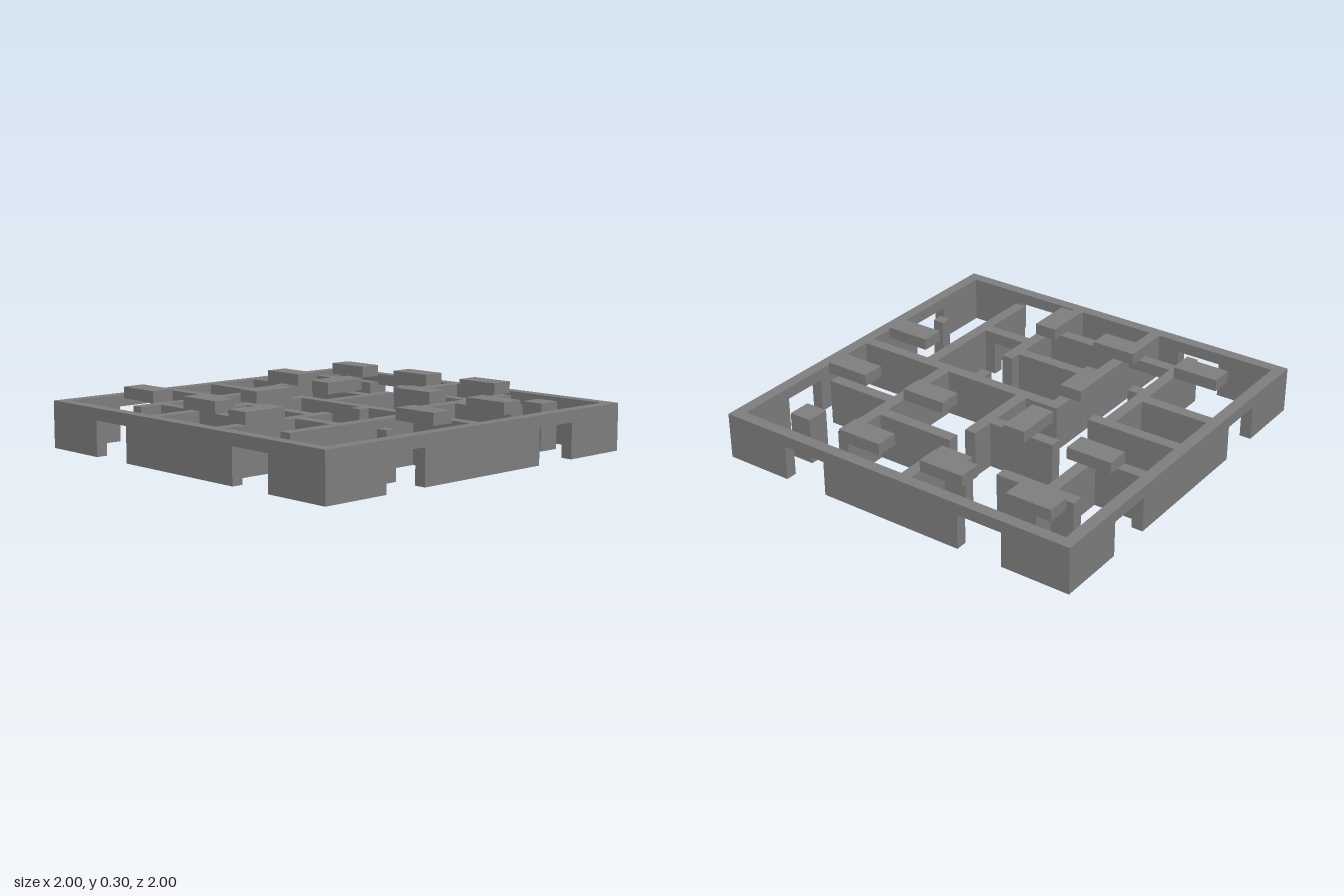
import * as THREE from 'three';

// The plan is drawn on a 33 x 33 grid of square cells.
const N = 33, C = 2 / N;
const WALL = 4, DOOR = 3;

export function createModel() {
  const model = new THREE.Group();
  model.name = 'maze';
  const stone = new THREE.MeshStandardMaterial({ color: 0x808080 });
  stone.name = 'grey stone';

  // Box between grid corners.
  function block(parent, name, x0, x1, z0, z1, y0, y1) {
    const geo = new THREE.BoxGeometry((x1 - x0) * C, (y1 - y0) * C, (z1 - z0) * C);
    const mesh = new THREE.Mesh(geo, stone);
    mesh.name = name;
    mesh.position.set((x0 + x1) / 2 * C - 1, (y0 + y1) / 2 * C, (z0 + z1) / 2 * C - 1);
    parent.add(mesh);
  }

  // One-cell-thick wall along an axis; each door leaves a lintel overhead.
  function wall(name, axis, line, from, to, doors = []) {
    const group = new THREE.Group();
    group.name = name;
    const piece = (part, a, b, y0) => {
      if (b <= a) return;
      if (axis === 'x') block(group, part, a, b, line, line + 1, y0, WALL);
      else block(group, part, line, line + 1, a, b, y0, WALL);
    };
    let at = from;
    for (const [a, b] of doors) {
      piece('wallPanel', at, a, 0);
      piece('doorLintel', a, b, DOOR);
      at = b;
    }
    piece('wallPanel', at, to, 0);
    model.add(group);
  }

  // Outer walls, two gates on every side
  const gates = [[6, 10], [23, 27]];
  wall('backOuterWall', 'x', 0, 0, N, gates);
  wall('frontOuterWall', 'x', N - 1, 0, N, gates);
  wall('rightOuterWall', 'z', 0, 1, N - 1, gates);
  wall('leftOuterWall', 'z', N - 1, 1, N - 1, gates);

  // Inner walls running along x: line, from, to, doors
  [
    [5, 3, 5], [5, 6, 10], [5, 13, 15],
    [7, 16, 23],
    [9, 24, 30],
    [11, 1, 5], [11, 9, 15],
    [16, 1, 9], [16, 12, 32],
    [21, 1, 7],
    [22, 8, 9], [22, 13, 20],
    [24, 21, 25, [[21, 24]]],
    [27, 8, 12, [[9, 12]]], [27, 13, 20],
  ].forEach((w) => wall('crossWall', 'x', ...w));

  // Inner walls running along z
  [
    [5, 3, 13],
    [7, 17, 30],
    [12, 17, 32],
    [15, 1, 6], [15, 9, 16],
    [20, 17, 18], [20, 21, 32],
    [23, 3, 16],
    [25, 17, 30],
  ].forEach((w) => wall('lengthWall', 'z', ...w));

  // Free-standing pillars
  block(model, 'widePillar', 27, 29, 3, 5, 0, WALL);
  block(model, 'thinPillar', 29, 30, 23, 24, 0, WALL);

  // Raised slabs level with the wall tops: x, z, width, depth
  [
    [3, 2, 4, 2], [11, 2, 4, 2], [19, 2, 4, 2],
    [3, 10, 4, 2], [11, 10, 2, 4], [19, 10, 4, 2], [27, 10, 4, 2],
    [11, 18, 2, 4], [27, 18, 4, 2],
    [3, 26, 4, 2], [11, 26, 4, 2], [19, 26, 2, 4],
  ].forEach(([x, z, w, d]) => block(model, 'roofSlab', x, x + w, z, z + d, WALL, WALL + 1));

  return model;
}
